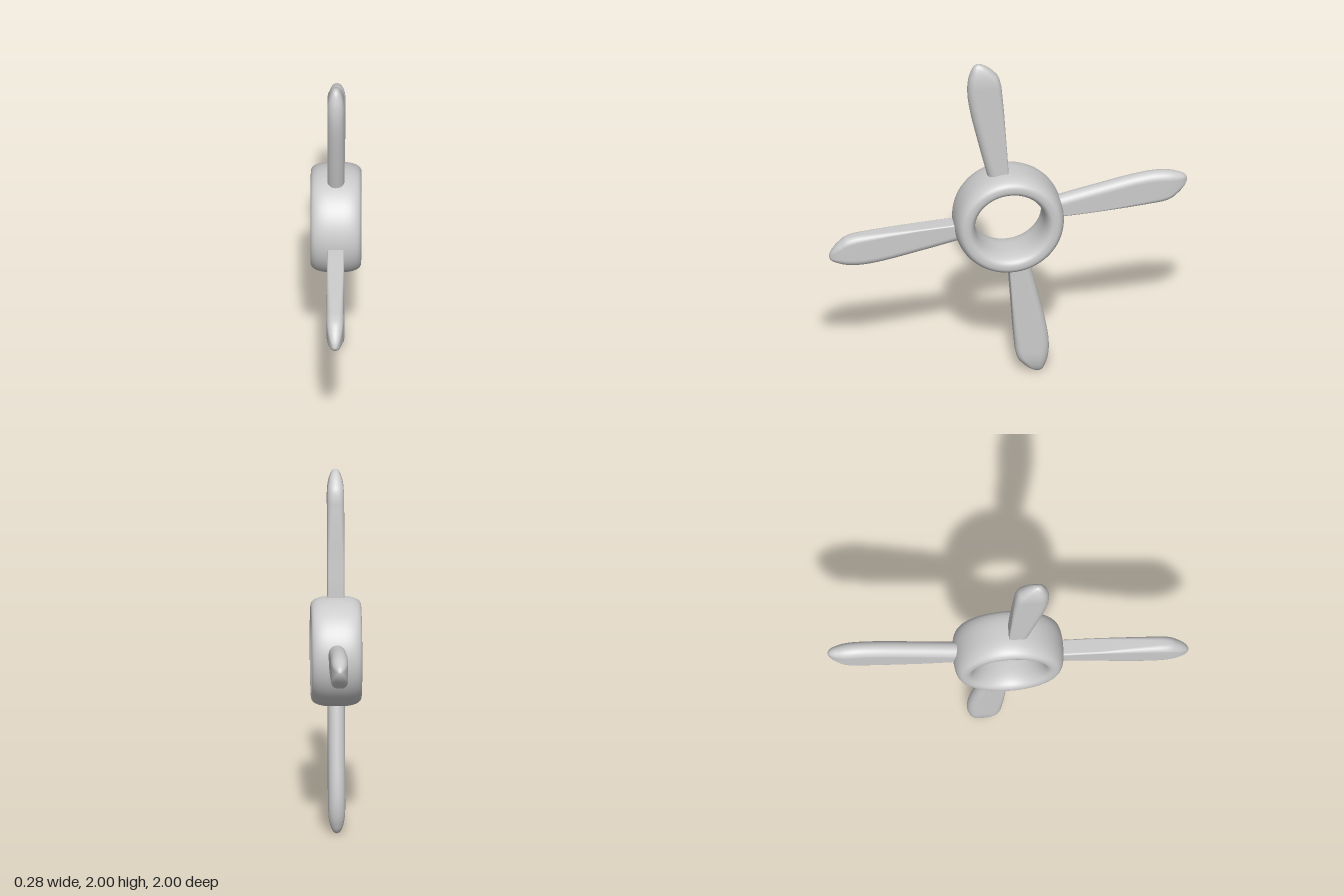
import * as THREE from 'three';

const HALF_THICK = 0.047;

// Rounded hub ring: a closed superellipse profile turned about the x axis
function makeHub(material) {
  const profile = [];
  const power = (v) => Math.sign(v) * Math.pow(Math.abs(v), 2 / 2.6);
  for (let i = 0; i <= 48; i++) {
    const a = -Math.PI + (i / 48) * Math.PI * 2;
    profile.push(new THREE.Vector2(0.248 + 0.058 * power(Math.cos(a)), 0.14 * power(Math.sin(a))));
  }
  const hub = new THREE.Mesh(new THREE.LatheGeometry(profile, 96).rotateZ(Math.PI / 2), material);
  hub.name = 'hubRing';
  return hub;
}

// Blade section: full round on the +z edge, tighter corners on the -z edge
function bladeSection(zMin, zMax, y) {
  const tip = Math.max(0, (y - 0.86) / 0.14);
  const t = HALF_THICK * Math.sqrt(Math.max(0.002, 1 - tip * tip));
  const w = zMax - zMin;
  const R = Math.min(t, w / 2);
  const r = Math.min(0.01 + 0.07 * Math.max(0, y - 0.5), t, w / 2);
  const points = [];
  const arc = (zc, xc, rz, rx, from, to, n) => {
    for (let i = 0; i <= n; i++) {
      const a = from + ((to - from) * i) / n;
      points.push([xc + rx * Math.sin(a), y, zc + rz * Math.cos(a)]);
    }
  };
  const q = Math.PI / 2;
  arc(zMax - R, 0, R, t, -q, q, 16);
  arc(zMin + r, t - r, r, r, q, 2 * q, 6);
  arc(zMin + r, r - t, r, r, 2 * q, 3 * q, 6);
  return points;
}

// Blade lofted outward along y from its two edge curves
function makeBladeGeometry() {
  // each point: (straight edge z, radius, bulged edge z)
  const edges = new THREE.CatmullRomCurve3([
    [0, 0.25, 0.108], [0.006, 0.38, 0.14], [0.014, 0.5, 0.168], [0.026, 0.7, 0.212],
    [0.034, 0.8, 0.226], [0.04, 0.86, 0.227], [0.054, 0.91, 0.221], [0.08, 0.945, 0.211],
    [0.11, 0.973, 0.2], [0.138, 0.991, 0.187], [0.163, 1.0, 0.169],
  ].map((p) => new THREE.Vector3(...p)));

  const rows = 60;
  const positions = [];
  const index = [];
  let n = 0;
  for (let i = 0; i <= rows; i++) {
    const p = edges.getPoint(i / rows);
    const section = bladeSection(p.x, p.z, p.y);
    n = section.length;
    positions.push(...section.flat());
  }
  for (let i = 0; i < rows; i++) {
    for (let j = 0; j < n; j++) {
      const a = i * n + j;
      const b = i * n + ((j + 1) % n);
      index.push(a, b, a + n, b, b + n, a + n);
    }
  }
  // tip cap
  const centre = (rows + 1) * n;
  positions.push(0, 1, 0.166);
  for (let j = 0; j < n; j++) index.push(rows * n + j, rows * n + ((j + 1) % n), centre);

  const geometry = new THREE.BufferGeometry();
  geometry.setAttribute('position', new THREE.Float32BufferAttribute(positions, 3));
  geometry.setIndex(index);
  geometry.computeVertexNormals();
  return geometry;
}

export function createModel() {
  const material = new THREE.MeshStandardMaterial({ color: 0xcccccc });
  const model = new THREE.Group();
  model.name = 'propeller';
  model.add(makeHub(material));

  // Four equal blades around the hub
  const bladeGeometry = makeBladeGeometry();
  for (let i = 0; i < 4; i++) {
    const blade = new THREE.Mesh(bladeGeometry, material);
    blade.name = `blade${i + 1}`;
    blade.rotation.x = (-i * Math.PI) / 2;
    model.add(blade);
  }
  model.position.y = 1;
  const root = new THREE.Group();
  root.add(model);
  return root;
}
